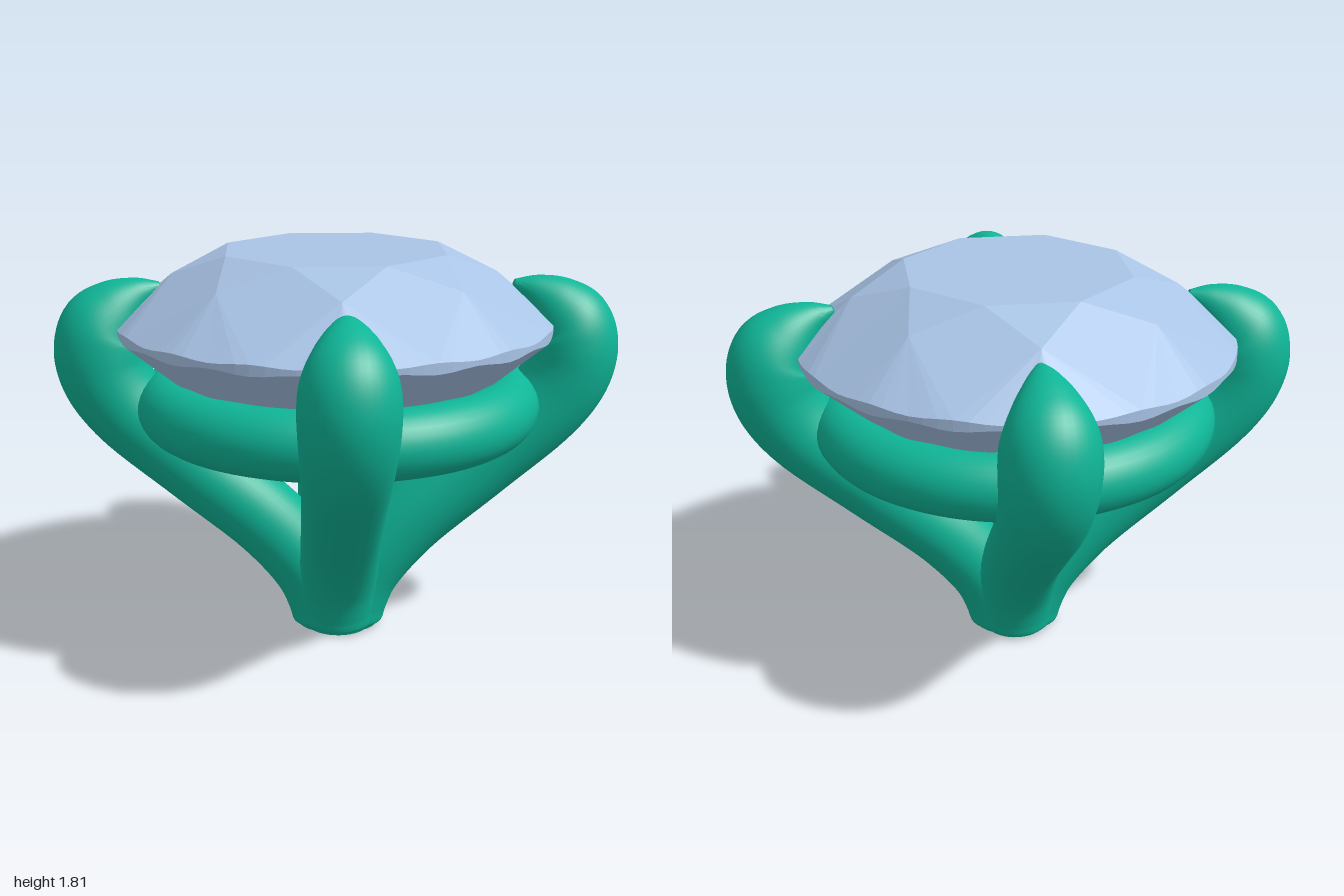
import * as THREE from 'three';
import { toCreasedNormals } from 'three/addons/utils/BufferGeometryUtils.js';

const polar = (r, deg, y) => {
  const a = THREE.MathUtils.degToRad(deg);
  return new THREE.Vector3(r * Math.cos(a), y, r * Math.sin(a));
};

// Round brilliant cut: table, stars, kites, girdle and pavilion facets
function gemGeometry() {
  const R = 0.995, centre = new THREE.Vector3(0, 1.4, 0), pos = [];
  const tri = (a, b, c) => {
    const n = b.clone().sub(a).cross(c.clone().sub(a));
    const out = a.clone().add(b).add(c).divideScalar(3).sub(centre);
    const order = n.dot(out) < 0 ? [a, c, b] : [a, b, c];
    order.forEach((v) => pos.push(v.x, v.y, v.z));
  };
  const wave = (deg) => Math.sin(THREE.MathUtils.degToRad(deg * 8)) ** 2;
  const upper = (deg) => polar(R, deg, 1.49 - 0.012 * wave(deg));
  const lower = (deg) => polar(R, deg, 1.44 + 0.015 * wave(deg));
  const top = new THREE.Vector3(0, 1.81, 0), culet = new THREE.Vector3(0, 0.615, 0);
  const step = 22.5 / 6;

  for (let k = 0; k < 8; k++) {
    const a = k * 45;
    const t0 = polar(0.53, a - 22.5, 1.81), t1 = polar(0.53, a + 22.5, 1.81);
    const star = polar(0.74, a, 1.705), nextStar = polar(0.74, a + 45, 1.705);
    const low = polar(0.25, a, 0.81), nextLow = polar(0.25, a + 45, 0.81);
    tri(top, t0, t1);
    tri(t0, t1, star);
    // kite facets of crown and pavilion
    tri(t1, star, upper(a + 22.5));
    tri(t1, nextStar, upper(a + 22.5));
    tri(culet, low, lower(a + 22.5));
    tri(culet, nextLow, lower(a + 22.5));
    // girdle halves and the girdle band
    for (let i = -6; i < 6; i++) {
      const p = a + i * step, q = p + step;
      tri(star, upper(p), upper(q));
      tri(low, lower(p), lower(q));
      tri(upper(p), upper(q), lower(p));
      tri(upper(q), lower(q), lower(p));
    }
  }
  const geo = new THREE.BufferGeometry();
  geo.setAttribute('position', new THREE.Float32BufferAttribute(pos, 3));
  geo.computeVertexNormals();
  return geo;
}

// Claw: a round section swept in the x-y plane; each point is (distance out, height, radius)
function prongGeometry() {
  const s = Math.SQRT2, rows = 80, sides = 36;
  const curve = new THREE.CatmullRomCurve3([
    [0.03, 0, 0.145], [0.03, 0.035, 0.172], [0.04, 0.12, 0.18], [0.085, 0.275, 0.183],
    [0.22, 0.505, 0.183], [0.465, 0.8, 0.185], [0.69, 1.09, 0.197], [0.755, 1.24, 0.207],
    [0.77, 1.36, 0.21], [0.755, 1.46, 0.197], [0.705, 1.545, 0.15], [0.64, 1.61, 0.085], [0.57, 1.65, 0.02],
  ].map(([x, y, r]) => new THREE.Vector3(x * s, y, r)));
  const pos = [], index = [];
  for (let i = -1; i <= rows + 1; i++) {
    const t = THREE.MathUtils.clamp(i / rows, 0, 1);
    const p = curve.getPoint(t), d = curve.getTangent(t);
    const len = Math.hypot(d.x, d.y);
    const r = i < 0 || i > rows ? 0 : p.z;
    for (let j = 0; j < sides; j++) {
      const a = (j / sides) * Math.PI * 2, c = Math.cos(a) * r;
      const flat = i <= 0; // level foot
      pos.push(p.x + (flat ? c : (c * d.y) / len), flat ? 0 : p.y - (c * d.x) / len, Math.sin(a) * r);
    }
  }
  for (let i = 0; i < rows + 2; i++) {
    for (let j = 0; j < sides; j++) {
      const a = i * sides + j, b = i * sides + ((j + 1) % sides);
      index.push(a, a + sides, b, b, a + sides, b + sides);
    }
  }
  const geo = new THREE.BufferGeometry();
  geo.setAttribute('position', new THREE.Float32BufferAttribute(pos, 3));
  geo.setIndex(index);
  return toCreasedNormals(geo, 0.9);
}

export function createModel() {
  const model = new THREE.Group();
  const gemMat = new THREE.MeshStandardMaterial({ color: 0xa9c4e6, flatShading: true });
  const settingMat = new THREE.MeshStandardMaterial({ color: 0x0fb597 });

  const gem = new THREE.Mesh(gemGeometry(), gemMat);
  gem.name = 'gem';
  model.add(gem);

  const setting = new THREE.Group();
  setting.name = 'setting';
  setting.position.x = 0.018;
  model.add(setting);

  // Ring that cradles the gem
  const ring = new THREE.Mesh(new THREE.TorusGeometry(0.775, 0.155, 28, 96), settingMat);
  ring.name = 'supportRing';
  ring.rotation.x = Math.PI / 2;
  ring.position.y = 1.105;
  setting.add(ring);

  // Four claws on the diagonals
  const claw = prongGeometry();
  ['backLeft', 'backRight', 'frontRight', 'frontLeft'].forEach((name, k) => {
    const prong = new THREE.Mesh(claw, settingMat);
    prong.name = name + 'Prong';
    prong.rotation.y = Math.PI / 4 + (k * Math.PI) / 2;
    setting.add(prong);
  });
  return model;
}
